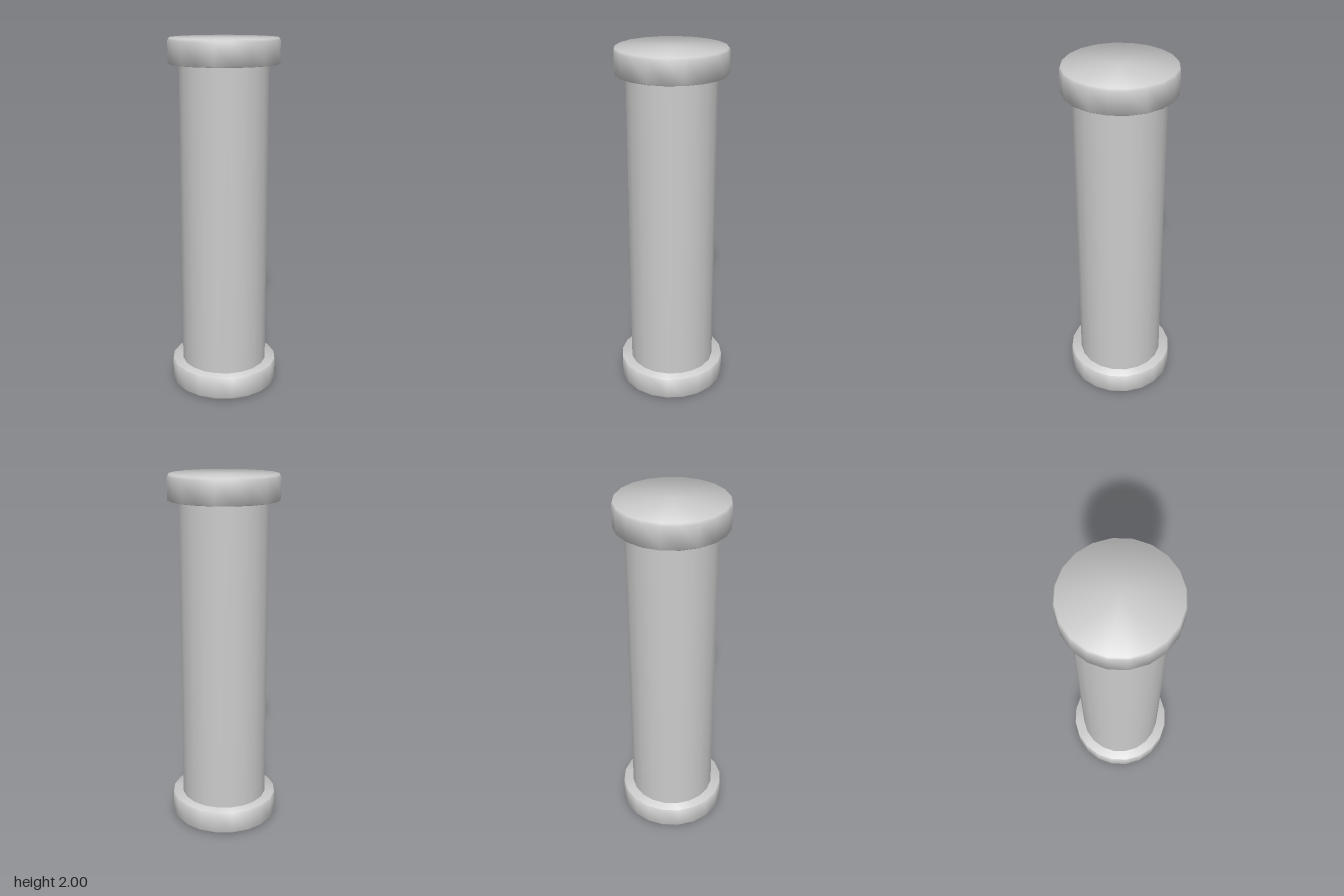
import * as THREE from 'three';
import { toCreasedNormals } from 'three/addons/utils/BufferGeometryUtils.js';

const SIDES = 20;
const CAP_HEIGHT = 0.137;
const CAP_RADIUS = 0.305;
const SHAFT_RADIUS = 0.246;

export function createModel() {
  const group = new THREE.Group();
  group.name = 'column';
  const material = new THREE.MeshStandardMaterial({ color: 0xcccccc });

  const add = (name, geometry, y) => {
    const mesh = new THREE.Mesh(geometry, material);
    mesh.name = name;
    mesh.position.y = y;
    group.add(mesh);
    return mesh;
  };

  // Disc with a softened outer rim and a sharp edge towards the shaft
  const profile = [
    [0, 0],
    [CAP_RADIUS - 0.007, 0],
    [CAP_RADIUS, 0.013],
    [CAP_RADIUS, CAP_HEIGHT - 0.002],
    [CAP_RADIUS - 0.002, CAP_HEIGHT],
    [0, CAP_HEIGHT],
  ].map(([r, y]) => new THREE.Vector2(r, y));
  const disc = toCreasedNormals(new THREE.LatheGeometry(profile, SIDES), THREE.MathUtils.degToRad(65));

  add('base', disc, 0);
  add('capital', disc, 2).rotation.x = Math.PI;

  // Straight round shaft, its ends hidden inside the discs
  const shaftLength = 2 - 2 * CAP_HEIGHT + 0.01;
  add('shaft', new THREE.CylinderGeometry(SHAFT_RADIUS, SHAFT_RADIUS, shaftLength, SIDES, 1, true), 1);

  return group;
}
